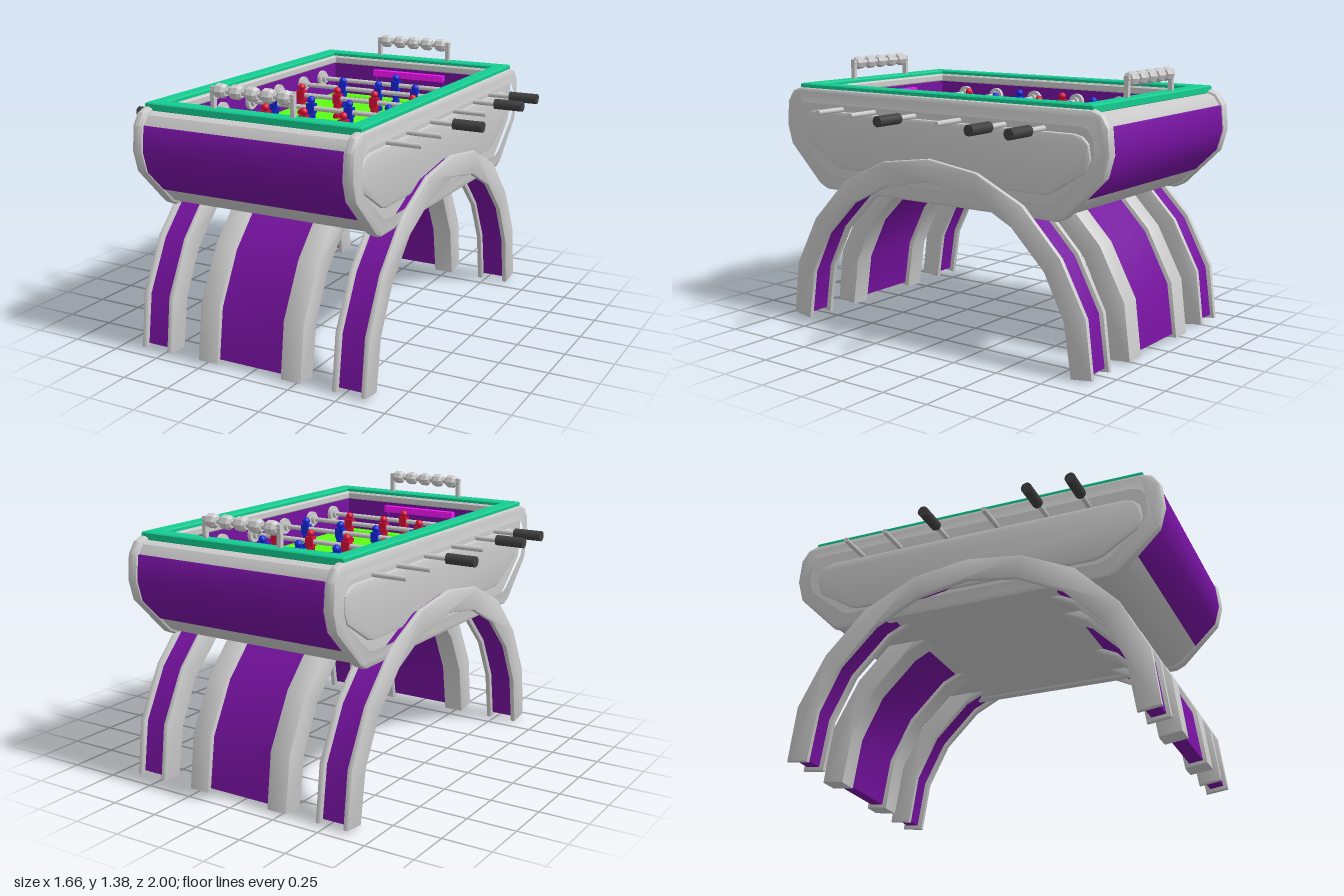
import * as THREE from 'three';
import { toCreasedNormals } from 'three/addons/utils/BufferGeometryUtils.js';

const mat = (color) => new THREE.MeshStandardMaterial({ color });
const GREY = mat(0xcccccc), PURPLE = mat(0x7612a0), TEAL = mat(0x14cc90), GREEN = mat(0x5cff12);
const RED = mat(0xdc1038), BLUE = mat(0x1428dc), MAGENTA = mat(0xff14ff), DARK = mat(0x404040);

const toShape = (pts) => new THREE.Shape(pts.map(([a, b]) => new THREE.Vector2(a, b)));

// Extrude a (z, y) outline along x from x0 to x1
function slab(pts, x0, x1, bevel = 0, hole = null) {
  const shape = toShape(pts);
  if (hole) shape.holes.push(toShape(hole));
  const g = new THREE.ExtrudeGeometry(shape, {
    depth: x1 - x0 - 2 * bevel, bevelEnabled: bevel > 0, bevelThickness: bevel,
    bevelSize: bevel, bevelOffset: -bevel, bevelSegments: 2,
  });
  g.rotateY(-Math.PI / 2).translate(x1 - bevel, 0, 0);
  return toCreasedNormals(g, 0.6);
}

// Flat rectangular frame lying in the xz plane
function frame(ox, oz, ix, iz, y0, y1, bevel = 0) {
  const rect = (x, z) => [[-x, -z], [x, -z], [x, z], [-x, z]];
  const shape = toShape(rect(ox, oz));
  shape.holes.push(toShape(rect(ix, iz)));
  const g = new THREE.ExtrudeGeometry(shape, {
    depth: y1 - y0 - bevel, bevelEnabled: bevel > 0, bevelThickness: bevel,
    bevelSize: bevel, bevelOffset: -bevel, bevelSegments: 1,
  });
  return g.rotateX(-Math.PI / 2).translate(0, y0, 0);
}

const box = (w, h, d, x, y, z) => new THREE.BoxGeometry(w, h, d).translate(x, y, z);
const rodX = (r, x0, x1, sides = 12) => new THREE.CylinderGeometry(r, r, x1 - x0, sides)
  .rotateZ(Math.PI / 2).translate((x0 + x1) / 2, 0, 0);

function add(parent, name, geometry, material) {
  const m = new THREE.Mesh(geometry, material);
  m.name = name;
  parent.add(m);
  return m;
}

function group(parent, name) {
  const g = new THREE.Group();
  g.name = name;
  parent.add(g);
  return g;
}

// Cabinet side outline, shrunk towards its middle by d
const HALF = [[0.9, 1.24], [0.95, 1.222], [0.988, 1.165], [1.0, 1.04], [0.97, 0.935], [0.77, 0.738], [0.72, 0.715]];
const shrink = (pts, d) => pts.map(([z, y]) => [z * (1 - d), 0.978 + (y - 0.978) * (1 - d / 0.262)]);
const mirrorZ = (pts) => [...pts, ...pts.map(([z, y]) => [-z, y]).reverse()];
const outline = (d) => mirrorZ(shrink(HALF, d));

// Arch outline; inset thins the band evenly and lifts its feet
const OUTER = [[0.945, 0.02], [0.91, 0.3], [0.77, 0.56], [0.555, 0.78], [0.29, 0.905], [0, 0.945]];
const INNER = [[0.83, 0.005], [0.79, 0.265], [0.68, 0.485], [0.495, 0.67], [0.265, 0.785], [0, 0.83]];
function arch(inset) {
  const mix = (a, b, t) => a.map(([z, y], i) => [
    z + (b[i][0] - z) * t, y + (b[i][1] - y) * t + (i === 0 ? inset * 0.1 : 0)]);
  const full = (half) => [...half, ...half.slice(0, -1).reverse().map(([z, y]) => [-z, y])];
  return [...full(mix(OUTER, INNER, inset)), ...full(mix(OUTER, INNER, 1 - inset)).reverse()];
}

// Arched beam: two grey flanges with a recessed purple web
function archBeam(parent, name, x0, x1, flange) {
  const g = group(parent, name);
  add(g, 'flangeRight', slab(arch(0), x0, x0 + flange, 0.008), GREY);
  add(g, 'flangeLeft', slab(arch(0), x1 - flange, x1, 0.008), GREY);
  add(g, 'web', slab(arch(0.2), x0 + flange - 0.01, x1 - flange + 0.01), PURPLE);
}

// One player hanging on its rod
function player(parent, x, material) {
  const p = group(parent, 'player');
  p.position.x = x;
  add(p, 'torso', box(0.044, 0.05, 0.036, 0, 0, 0), material);
  const legs = new THREE.CylinderGeometry(0.024, 0.016, 0.07, 4).rotateY(Math.PI / 4);
  add(p, 'legs', legs.translate(0, -0.058, 0), material);
  add(p, 'foot', box(0.03, 0.02, 0.042, 0, -0.095, 0), material);
  add(p, 'head', new THREE.SphereGeometry(0.02, 10, 8).translate(0, 0.042, 0), material);
}

export function createModel() {
  const model = new THREE.Group();
  model.name = 'tableFootball';

  // Cabinet: open trough between two rounded end plates
  const cabinet = group(model, 'cabinet');
  const c = shrink(HALF, 0.014);
  const trough = [[0.82, 1.0], [0.82, 1.225], ...c, ...c.map(([z, y]) => [-z, y]).reverse(), [-0.82, 1.225], [-0.82, 1.0]];
  add(cabinet, 'trough', slab(trough, -0.54, 0.54), GREY);
  for (const s of [-1, 1]) {
    const span = (a, b) => (s > 0 ? [a, b] : [-b, -a]);
    add(cabinet, 'sideRing', slab(outline(0), ...span(0.53, 0.592), 0.022, outline(0.055)), GREY);
    add(cabinet, 'sidePanel', slab(outline(0.04), ...span(0.53, 0.56)), GREY);
    add(cabinet, 'innerSidePanel', slab(outline(0.115), ...span(0.55, 0.573), 0.01), GREY);
    // Coloured panel wrapped round each end
    const strip = shrink([[0.983, 1.173], [0.988, 1.165], [1.0, 1.04], [0.97, 0.935], [0.853, 0.819],
      [0.82, 0.9], [0.9, 1.1]], 0.009);
    add(cabinet, 'endPanel', slab(strip.map(([z, y]) => [z * s, y]), -0.53, 0.53), PURPLE);
  }

  // Rim, lining and playing field
  add(cabinet, 'topRim', frame(0.575, 0.9, 0.5, 0.82, 1.225, 1.26, 0.006), TEAL);
  add(cabinet, 'innerLip', frame(0.51, 0.83, 0.48, 0.802, 1.205, 1.24, 0.008), GREY);
  add(cabinet, 'innerWalls', frame(0.535, 0.83, 0.486, 0.808, 0.99, 1.22), PURPLE);
  add(cabinet, 'field', box(1.0, 0.03, 1.63, 0, 1.0, 0), GREEN);
  add(cabinet, 'fieldBorder', frame(0.488, 0.81, 0.415, 0.74, 1.01, 1.026, 0.01), GREEN);

  // Goals
  for (const s of [-1, 1]) {
    const goal = group(model, s > 0 ? 'frontGoal' : 'backGoal');
    add(goal, 'crossbar', box(0.44, 0.035, 0.035, 0, 1.165, s * 0.793), MAGENTA);
    for (const x of [-0.212, 0.212]) add(goal, 'post', box(0.016, 0.14, 0.02, x, 1.085, s * 0.796), PURPLE);
  }

  // Rods: z, side of the handle, player positions, team
  const one = [0], three = [-0.22, 0, 0.22], four = [-0.33, -0.11, 0.11, 0.33];
  const rods = [
    [-0.63, 1, one, BLUE], [-0.41, 1, three, BLUE], [-0.145, -1, four, RED],
    [0.135, 1, four, BLUE], [0.4, -1, three, RED], [0.62, -1, one, RED],
  ];
  for (const [z, side, xs, team] of rods) {
    const rod = group(model, 'rod');
    rod.position.set(0, 1.137, z);
    add(rod, 'bar', side > 0 ? rodX(0.013, -0.735, 0.8) : rodX(0.013, -0.8, 0.735), GREY);
    add(rod, 'handle', side > 0 ? rodX(0.027, 0.68, 0.832) : rodX(0.027, -0.832, -0.68), DARK);
    for (const s of [-1, 1]) {
      const bearing = rodX(0.043, -0.01, 0.01, 14).translate(s * 0.474, 0, 0);
      add(rod, 'bearing', bearing, GREY);
      add(rod, 'bushing', rodX(0.024, -0.012, 0.012).translate(s * 0.457, 0, 0), GREY);
    }
    for (const x of xs) player(rod, x, team);
  }

  // Score counters with sliding beads
  const beadProfile = [[0, -0.032], [0.024, -0.032], [0.035, -0.017], [0.035, 0.017], [0.024, 0.032], [0, 0.032]]
    .map(([r, y]) => new THREE.Vector2(r, y));
  for (const s of [-1, 1]) {
    const counter = group(model, s > 0 ? 'frontCounter' : 'backCounter');
    counter.position.set(0, 1.345, s * 0.858);
    add(counter, 'counterBar', rodX(0.014, -0.222, 0.222), GREY);
    for (const x of [-0.213, 0.213]) {
      add(counter, 'counterPost', box(0.02, 0.115, 0.024, x, -0.04, 0), GREY);
    }
    for (let i = -2; i <= 2; i++) {
      const bead = toCreasedNormals(new THREE.LatheGeometry(beadProfile, 8), 0.3);
      add(counter, 'bead', bead.rotateZ(Math.PI / 2).translate(i * 0.085, 0, 0), GREY);
    }
  }

  // Arched legs
  archBeam(model, 'leftLegArch', 0.45, 0.628, 0.028);
  archBeam(model, 'rightLegArch', -0.628, -0.45, 0.028);
  archBeam(model, 'centreLegArch', -0.288, 0.288, 0.112);

  return model;
}
